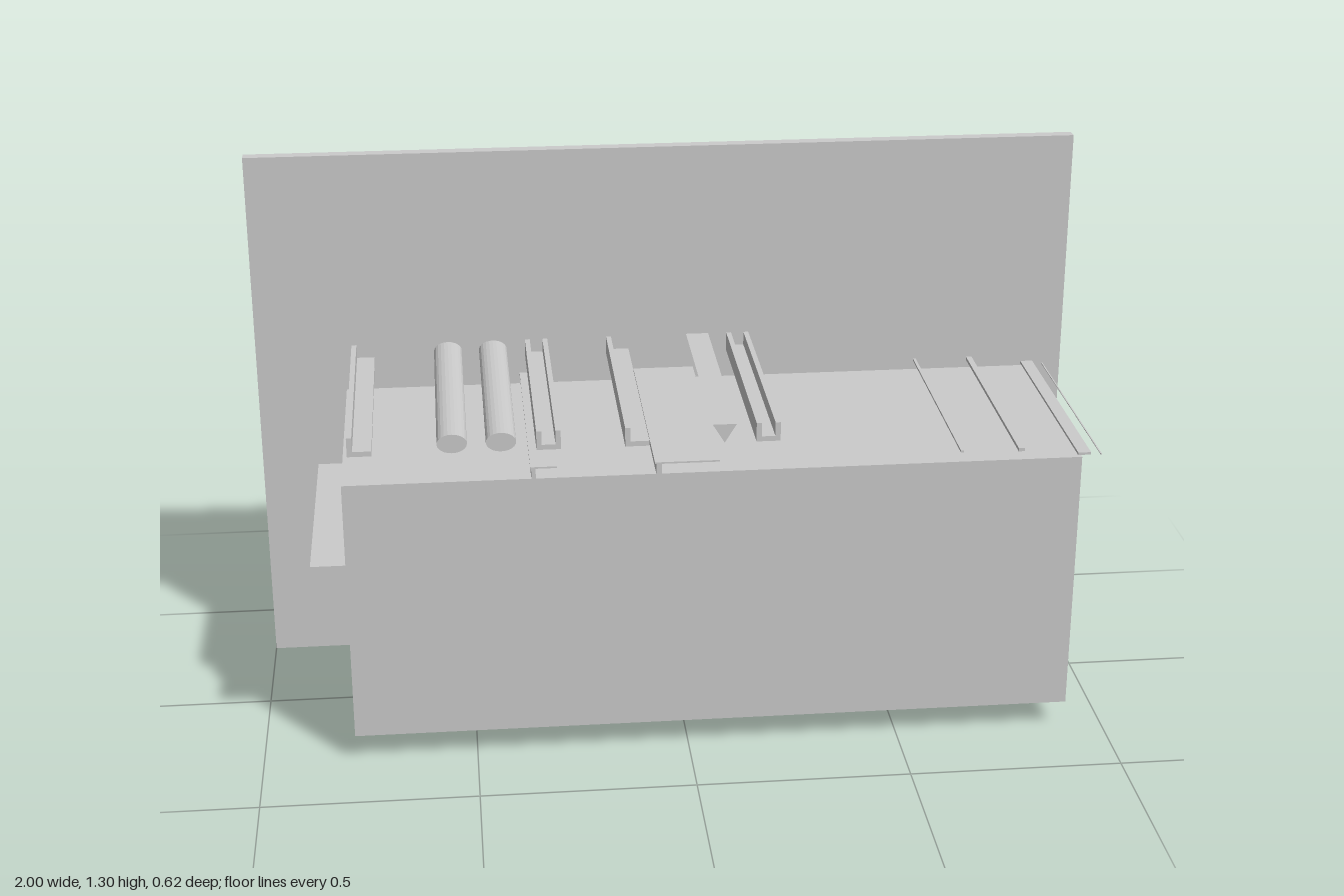
import * as THREE from 'three';

const BACK = -0.28, FRONT = 0.31, DEPTH = FRONT - BACK;

export function createModel() {
  const model = new THREE.Group();
  const material = new THREE.MeshStandardMaterial({ color: 0xcccccc, flatShading: true, side: THREE.DoubleSide });

  const add = (name, geometry) => {
    const mesh = new THREE.Mesh(geometry, material);
    mesh.name = name;
    model.add(mesh);
    return mesh;
  };
  // Box given by its limits
  const block = (name, x0, x1, y0, y1, z0 = BACK, z1 = FRONT) => {
    add(name, new THREE.BoxGeometry(x1 - x0, y1 - y0, z1 - z0))
      .position.set((x0 + x1) / 2, (y0 + y1) / 2, (z0 + z1) / 2);
  };
  // Section in the xy plane, run from the plate to the front
  const bar = (name, shape, x, y) => {
    const geometry = new THREE.ExtrudeGeometry(shape, { depth: DEPTH, bevelEnabled: false, curveSegments: 12 });
    add(name, geometry).position.set(x, y, BACK);
  };
  const section = (points) => new THREE.Shape(points.map(([x, y]) => new THREE.Vector2(x, y)));

  // Plate and main body
  block('backPlate', -1, 1, 0, 1.3, -0.31, BACK);
  block('body', -0.785, 0.91, 0.065, 0.705);

  // Bar sections, from the lower left corner of each
  const W = 0.055, H = 0.045, T = 0.012;
  const angle = section([[0, 0], [W, 0], [W, T], [T, T], [T, H], [0, H]]);
  const channel = section([[0, 0], [W, 0], [W, H], [W - T, H], [W - T, T], [T, T], [T, H], [0, H]]);
  const wedge = section([[W / 2, 0], [W, H], [0, H]]);
  const round = new THREE.Shape();
  round.absellipse(0.034, H / 2, 0.034, H / 2, 0, Math.PI * 2);

  // Row of bars floating above the body
  [
    ['angleBar', angle, -0.768], ['roundBar', round, -0.568], ['roundBar', round, -0.458],
    ['channelBar', channel, -0.345], ['angleBar', angle, -0.145],
    ['wedgeBar', wedge, 0.053], ['channelBar', channel, 0.153],
  ].forEach(([name, shape, x]) => bar(name, shape, x, 0.775));

  // Low strips on the body's top
  block('topStrip', -0.36, -0.30, 0.729, 0.733);
  block('topStripWeb', -0.358, -0.348, 0.705, 0.73);
  block('topStrip', -0.078, 0.07, 0.729, 0.733);
  block('topStripWeb', -0.075, -0.062, 0.705, 0.73);
  block('thinStrip', 0.625, 0.632, 0.728, 0.733);
  block('thinStrip', 0.76, 0.774, 0.725, 0.733);
  block('edgeStrip', 0.9, 0.93, 0.71, 0.716);
  block('edgeWire', 0.953, 0.956, 0.709, 0.711);

  // Thin fin on the right side
  block('sideFin', -0.865, -0.785, 0.505, 0.508);
  return model;
}
